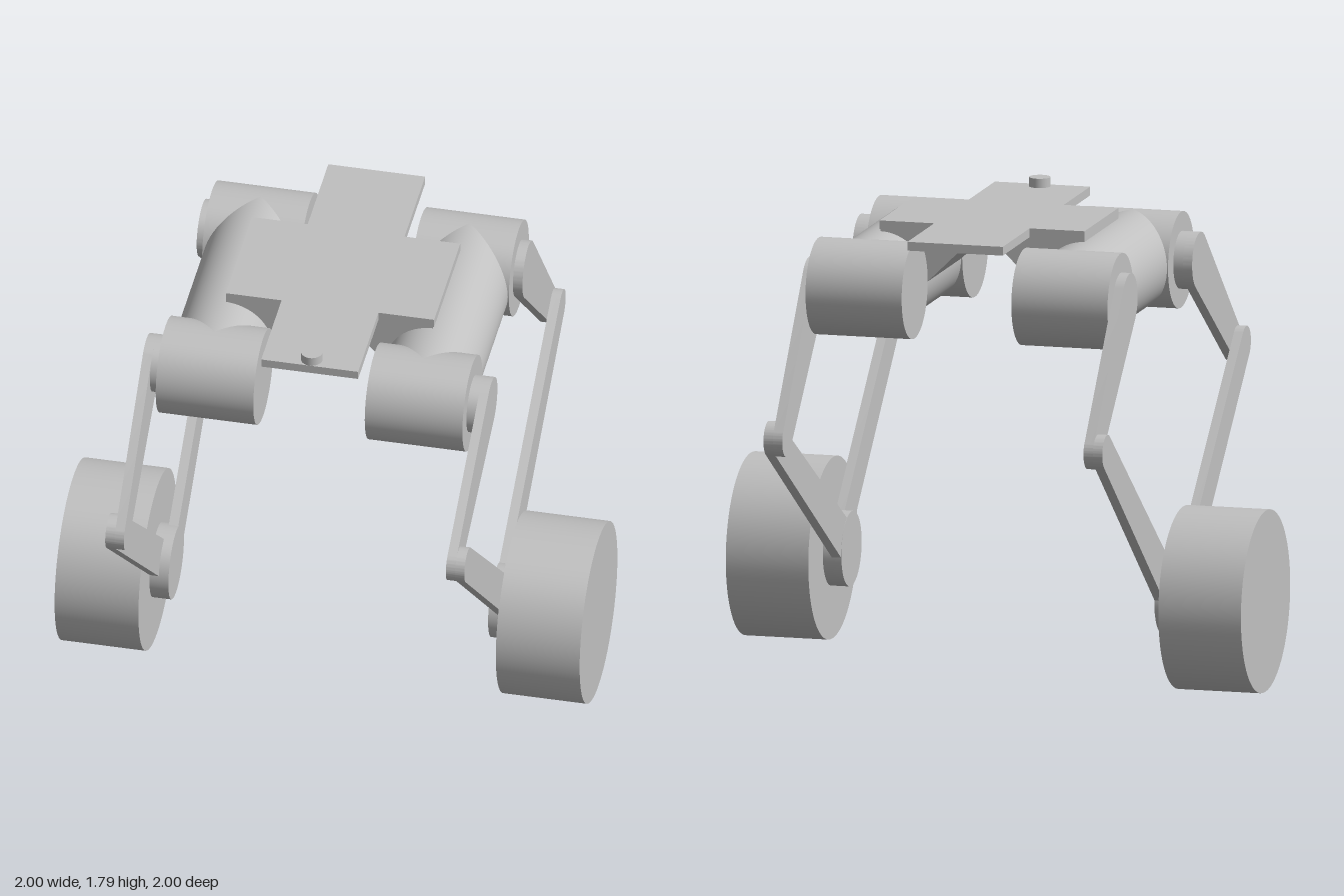
import * as THREE from 'three';
import { toCreasedNormals } from 'three/addons/utils/BufferGeometryUtils.js';

const grey = new THREE.MeshStandardMaterial({ color: 0xc0c0c0 });
grey.name = 'light grey';

function add(parent, name, geometry) {
  const mesh = new THREE.Mesh(geometry, grey);
  mesh.name = name;
  parent.add(mesh);
  return mesh;
}

// Cylinder lying along x, between x0 and x1, centred on point [z, y]
function barrel(parent, name, r, x0, x1, [z, y]) {
  const g = new THREE.CylinderGeometry(r, r, Math.abs(x1 - x0), 64).rotateZ(Math.PI / 2);
  g.translate((x0 + x1) / 2, y, z);
  return add(parent, name, g);
}

// Extrude a shape drawn in (z, y) between two x positions
function slabAlongX(shape, x0, x1) {
  const g = new THREE.ExtrudeGeometry(shape, {
    depth: Math.abs(x1 - x0), bevelEnabled: false, curveSegments: 24,
  });
  g.rotateY(-Math.PI / 2).translate(Math.max(x0, x1), 0, 0);
  return toCreasedNormals(g, 0.5);
}

// Flat tapered bar with round ends, from point a to point b (each [z, y])
function link(parent, name, a, ra, b, rb, x0, x1) {
  const dz = b[0] - a[0], dy = b[1] - a[1];
  const dir = Math.atan2(dy, dz);
  const tangent = Math.acos((ra - rb) / Math.hypot(dz, dy));
  const shape = new THREE.Shape();
  shape.absarc(a[0], a[1], ra, dir + tangent, dir - tangent + Math.PI * 2, false);
  shape.absarc(b[0], b[1], rb, dir - tangent, dir + tangent, false);
  shape.closePath();
  return add(parent, name, slabAlongX(shape, x0, x1));
}

const FRONT = [0.345, 1.535];
const REAR = [-0.49, 1.535];

// One side: two motors, the housing between them, a five-bar leg and its wheel
function makeSide(name, s, frontKnee, rearKnee, axle) {
  const side = new THREE.Group();
  side.name = name;

  barrel(side, 'frontMotor', 0.18, s * 0.21, s * 0.578, FRONT);
  barrel(side, 'rearMotor', 0.18, s * 0.21, s * 0.578, REAR);
  const housing = new THREE.CylinderGeometry(0.18, 0.18, FRONT[0] - REAR[0], 64);
  housing.rotateX(Math.PI / 2).translate(s * 0.394, 1.535, (FRONT[0] + REAR[0]) / 2);
  add(side, 'motorHousing', housing);

  // Front arm sits one layer further out than the rear arm
  barrel(side, 'frontShaft', 0.107, s * 0.578, s * 0.615, FRONT);
  link(side, 'frontUpperArm', FRONT, 0.107, frontKnee, 0.065, s * 0.615, s * 0.65);
  link(side, 'frontLowerArm', frontKnee, 0.065, axle, 0.07, s * 0.65, s * 0.685);
  link(side, 'rearUpperArm', REAR, 0.107, rearKnee, 0.065, s * 0.578, s * 0.614);
  link(side, 'rearLowerArm', rearKnee, 0.065, axle, 0.08, s * 0.614, s * 0.65);

  barrel(side, 'axleHub', 0.14, s * 0.613, s * 0.684, axle);
  barrel(side, 'wheel', 0.34, s * 0.684, s * 1.0, axle);
  return side;
}

export function createModel() {
  const model = new THREE.Group();
  model.name = 'wheeledLegRobot';

  model.add(makeSide('leftSide', 1, [0.935, 1.245], [-0.925, 1.038], [0.09, 0.435]));
  model.add(makeSide('rightSide', -1, [0.857, 1.13], [-0.935, 1.055], [-0.01, 0.34]));

  // Cross-shaped top plate, drawn in (x, -z)
  const plan = [
    [-0.18, -0.525], [0.185, -0.525], [0.185, -0.16], [0.395, -0.16],
    [0.395, 0.31], [0.185, 0.31], [0.185, 0.68], [-0.18, 0.68],
    [-0.18, 0.31], [-0.39, 0.31], [-0.39, -0.16], [-0.18, -0.16],
  ];
  const cross = new THREE.Shape(plan.map(([x, y]) => new THREE.Vector2(x, y)));
  const plate = new THREE.ExtrudeGeometry(cross, { depth: 0.033, bevelEnabled: false });
  plate.rotateX(-Math.PI / 2).translate(0, 1.722, 0);
  add(model, 'topPlate', plate);

  // Sloping brackets joining the plate to each motor housing
  for (const s of [1, -1]) {
    const pts = [[0.02, 1.722], [0.21, 1.535], [0.39, 1.535], [0.39, 1.722]];
    const wedge = new THREE.Shape(pts.map(([x, y]) => new THREE.Vector2(s * x, y)));
    const g = new THREE.ExtrudeGeometry(wedge, { depth: 0.47, bevelEnabled: false });
    add(model, s > 0 ? 'leftBracket' : 'rightBracket', g.translate(0, 0, -0.31));
  }

  // Small button near the front of the plate
  const button = new THREE.CylinderGeometry(0.04, 0.04, 0.068, 32);
  add(model, 'frontButton', button.translate(0.002, 1.756, 0.485));

  return model;
}
